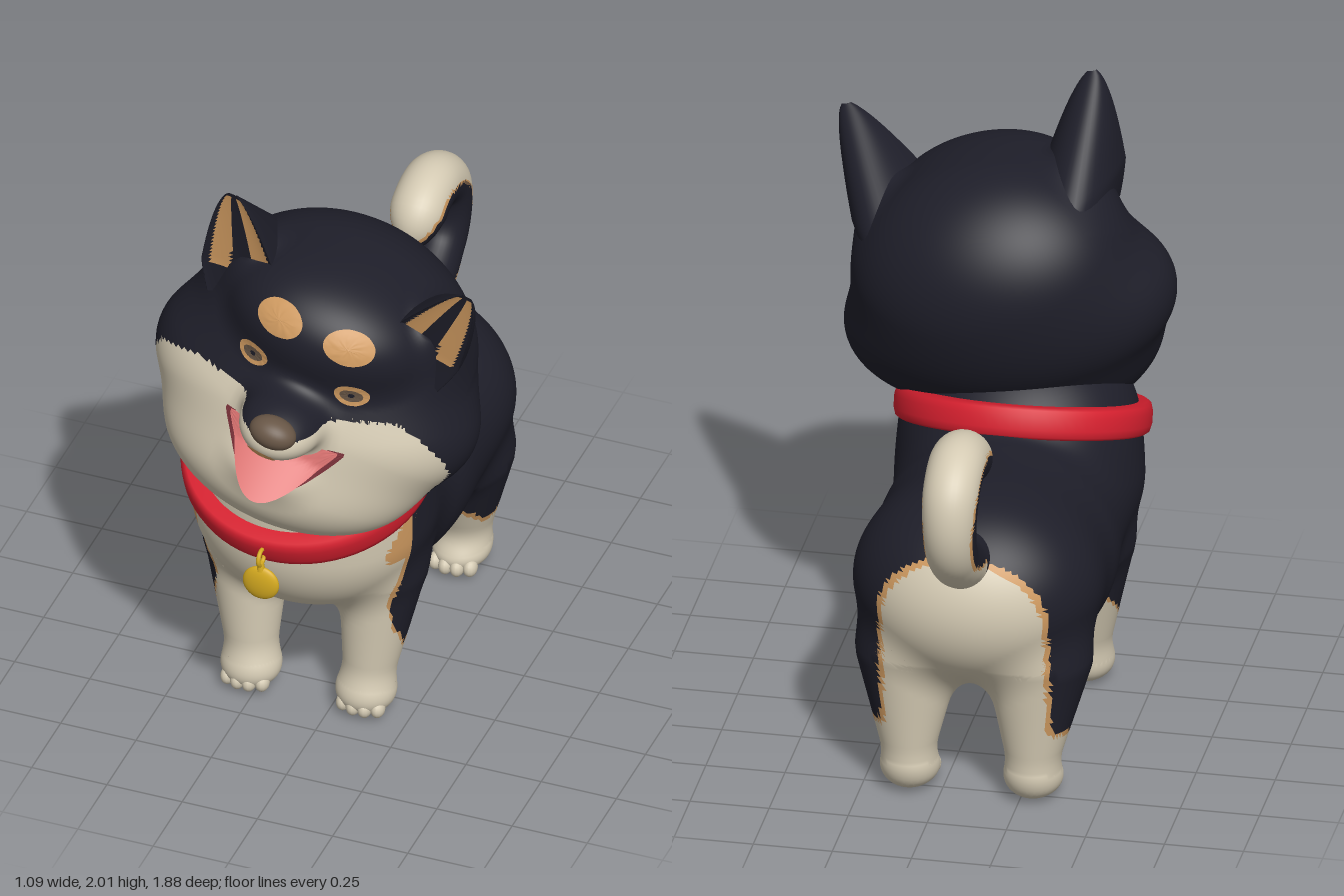
import * as THREE from 'three';

const mat = (name, color, side = THREE.FrontSide) => {
  const m = new THREE.MeshStandardMaterial({ color, side });
  m.name = name;
  return m;
};
const { lerp, clamp } = THREE.MathUtils;

// ---- soft blobs: ellipsoids and tapered limbs that melt into each other ----
const ball = (name, c, r, seg = 72) => ({
  name, seg,
  dist(x, y, z) {
    const a = (x - c[0]) / r[0], b = (y - c[1]) / r[1], d = (z - c[2]) / r[2];
    const k0 = Math.hypot(a, b, d), k1 = Math.hypot(a / r[0], b / r[1], d / r[2]);
    return k1 < 1e-6 ? -Math.min(...r) : k0 * (k0 - 1) / k1;
  },
  place: n => n.set(c[0] + n.x * r[0], c[1] + n.y * r[1], c[2] + n.z * r[2]),
});
// Limbs run from the upper end a to the lower end b
const limb = (name, a, b, ra, rb, seg = 56) => {
  const d = b.map((v, i) => v - a[i]), dd = d[0] ** 2 + d[1] ** 2 + d[2] ** 2;
  return {
    name, seg,
    dist(x, y, z) {
      const t = clamp(((x - a[0]) * d[0] + (y - a[1]) * d[1] + (z - a[2]) * d[2]) / dd, 0, 1);
      return Math.hypot(x - a[0] - d[0] * t, y - a[1] - d[1] * t, z - a[2] - d[2] * t) - lerp(ra, rb, t);
    },
    place(n) {
      const t = (1 - n.y) / 2, r = lerp(ra, rb, t);
      return n.set(a[0] + d[0] * t + n.x * r, a[1] + d[1] * t + n.y * r, a[2] + d[2] * t + n.z * r);
    },
  };
};
const blend = (blobs, k) => (x, y, z) => {
  let f = 9;
  for (const b of blobs) {
    const g = b.dist(x, y, z), h = Math.max(k - Math.abs(f - g), 0) / k;
    f = Math.min(f, g) - h * h * k / 4;
  }
  return f;
};

// Sorts faces into colour groups by a rule on the face centre
function paint(geo, pick, count) {
  const p = geo.attributes.position, ix = geo.index.array;
  const sets = Array.from({ length: count }, () => []);
  const v = new THREE.Vector3(), c = new THREE.Vector3();
  for (let i = 0; i < ix.length; i += 3) {
    c.set(0, 0, 0);
    for (let j = 0; j < 3; j++) c.add(v.fromBufferAttribute(p, ix[i + j]));
    sets[pick(c.divideScalar(3))].push(ix[i], ix[i + 1], ix[i + 2]);
  }
  geo.setIndex(sets.flat());
  geo.clearGroups();
  let start = 0;
  sets.forEach((s, m) => { if (s.length) geo.addGroup(start, s.length, m); start += s.length; });
  return geo;
}

// Moves a sphere's vertices onto the blended surface and drops faces owned by another blob
function wrap(blob, blobs, f, pick, mats) {
  const geo = new THREE.SphereGeometry(1, blob.seg, Math.round(blob.seg * 0.72));
  const p = geo.attributes.position, nor = geo.attributes.normal;
  const v = new THREE.Vector3(), g = new THREE.Vector3(), drop = [], e = 0.002;
  for (let i = 0; i < p.count; i++) {
    blob.place(v.fromBufferAttribute(p, i));
    const deep = f(v.x, v.y, v.z) < -0.12;
    for (let n = 0; n < 7; n++) {
      const d = f(v.x, v.y, v.z);
      g.set(f(v.x + e, v.y, v.z) - d, f(v.x, v.y + e, v.z) - d, f(v.x, v.y, v.z + e) - d).divideScalar(e);
      if (n < 6) v.addScaledVector(g, -clamp(d, -0.05, 0.05) / Math.max(g.lengthSq(), 0.2));
    }
    g.normalize();
    p.setXYZ(i, v.x, v.y, v.z);
    nor.setXYZ(i, g.x, g.y, g.z);
    drop.push(deep || blob.dist(v.x, v.y, v.z) > 0.045 + Math.min(...blobs.map(b => b.dist(v.x, v.y, v.z))));
  }
  const keep = [], ix = geo.index.array;
  for (let i = 0; i < ix.length; i += 3)
    if (!drop[ix[i]] && !drop[ix[i + 1]] && !drop[ix[i + 2]]) keep.push(ix[i], ix[i + 1], ix[i + 2]);
  geo.setIndex(keep);
  const mesh = new THREE.Mesh(paint(geo, pick, mats.length), mats);
  mesh.name = blob.name;
  return mesh;
}

export function createModel() {
  const dark = mat('dark fur', 0x1e1e29), cream = mat('cream fur', 0xd4cab3), tan = mat('tan fur', 0xcf9a60);
  const brown = mat('nose brown', 0x685646), red = mat('collar red', 0xd41f2e), gold = mat('tag gold', 0xd6ab20);
  const pink = mat('tongue pink', 0xdd7472, THREE.DoubleSide), maroon = mat('mouth maroon', 0x7a3038, THREE.DoubleSide);
  const fur = [dark, cream, tan];
  const root = new THREE.Group(), body = new THREE.Group(), head = new THREE.Group();
  root.name = 'dog'; body.name = 'body'; head.name = 'head';
  root.add(body, head);
  body.position.x = -0.09;
  head.position.y = 1.4;
  head.rotation.z = -0.24;
  const add = (parent, name, geo, m, pos = [0, 0, 0], scale = [1, 1, 1]) => {
    const mesh = new THREE.Mesh(geo, m);
    mesh.name = name;
    mesh.position.set(...pos);
    mesh.scale.set(...scale);
    parent.add(mesh);
    return mesh;
  };

  // Torso, legs and paws
  const bodyBlobs = [
    ball('chest', [0, 0.735, 0.26], [0.39, 0.35, 0.37], 110),
    ball('belly', [0, 0.642, -0.1], [0.38, 0.362, 0.5], 110),
    ball('rump', [0, 0.685, -0.395], [0.39, 0.318, 0.342], 110),
    ball('neck', [0.005, 0.92, 0.3], [0.365, 0.27, 0.335]),
  ];
  for (const s of [-1, 1]) {
    const side = s > 0 ? 'left' : 'right';
    bodyBlobs.push(
      limb(side + 'FrontLeg', [s * 0.222, 0.5, 0.265], [s * 0.192, 0.1, 0.315], 0.138, 0.076),
      limb(side + 'HindLeg', [s * 0.203, 0.45, -0.465], [s * 0.195, 0.1, -0.52], 0.17, 0.074),
      ball(side + 'FrontPaw', [s * 0.19, 0.06, 0.33], [0.08, 0.048, 0.075], 36),
      ball(side + 'HindPaw', [s * 0.195, 0.06, -0.475], [0.08, 0.048, 0.085], 36));
    for (const z of [0.335, -0.46]) {
      for (let i = -1.5; i < 2; i++)
        add(body, side + 'Toe', new THREE.SphereGeometry(1, 14, 10), cream,
          [s * 0.192 + i * 0.038, 0.036, z + 0.056 - 0.007 * i * i], [0.023, 0.03, 0.03]);
      add(body, side + 'PawPad', new THREE.SphereGeometry(1, 20, 8), brown, [s * 0.192, 0.008, z - 0.005], [0.045, 0.012, 0.035]);
    }
  }
  // Lower hem of the dark coat as (z, y) points
  const hem = [[-0.66, 0.36], [-0.6, 0.25], [-0.44, 0.21], [-0.31, 0.32], [-0.26, 0.41],
    [0.13, 0.41], [0.19, 0.34], [0.3, 0.24], [0.36, 0.34], [0.4, 0.5]];
  const hemAt = z => {
    const i = clamp(hem.findIndex(h => h[0] > z), 1, hem.length - 1), [a, b] = [hem[i - 1], hem[i]];
    return lerp(a[1], b[1], clamp((z - a[0]) / (b[0] - a[0]), 0, 1));
  };
  const coat = p => {
    const x = Math.abs(p.x), front = p.y > 0.84 && x > 0.22 ? 0.52 : 0.395;
    let s = Math.min(p.y - hemAt(p.z), front - p.z, p.z + 0.583 + 0.108 * p.y);
    if (p.y < 0.45) s = Math.min(s, x - 0.19);
    if (p.z < -0.56 && p.y < 0.62) s = Math.min(s, x - 0.255);
    const patch = p.z > 0.37 && p.z < 0.48 - 0.5 * Math.abs(p.y - 0.7) && p.y > 0.66 && p.y < 0.82 && x > 0.2;
    return s > 0.016 ? 0 : s > 0 || patch ? 2 : 1;
  };
  const bodyField = blend(bodyBlobs, 0.085);
  for (const b of bodyBlobs) body.add(wrap(b, bodyBlobs, bodyField, coat, fur));

  // Curled tail: tapered tube, dark on the inside of the curl
  const tailPts = [[-0.58, 0.84, 0.1], [-0.72, 0.9, 0.085], [-0.82, 0.985, 0.08], [-0.85, 1.08, 0.083],
    [-0.825, 1.18, 0.088], [-0.73, 1.235, 0.09], [-0.62, 1.205, 0.09], [-0.56, 1.1, 0.07]];
  const tailCurve = new THREE.CatmullRomCurve3(tailPts.map(([z, y]) => new THREE.Vector3(0, y, z)));
  const rows = 72, tailGeo = new THREE.TubeGeometry(tailCurve, rows, 1, 36);
  const tp = tailGeo.attributes.position, v = new THREE.Vector3();
  for (let i = 0; i < tp.count; i++) {
    const u = Math.floor(i / 37) / rows, c = tailCurve.getPointAt(u), k = Math.min(u * 7, 6.999), j = Math.floor(k);
    const r = lerp(tailPts[j][2], tailPts[j + 1][2], k - j) * Math.sqrt(1 - Math.max(0, (u - 0.86) / 0.14) ** 2);
    v.fromBufferAttribute(tp, i).sub(c).multiplyScalar(r).add(c);
    tp.setXYZ(i, v.x, v.y, v.z);
  }
  tailGeo.computeVertexNormals();
  const curl = p => {
    const d = Math.hypot(p.z + 0.7, p.y - 1.07);
    if (p.y < 1 && p.z > -0.68) return 0;
    return d > 0.186 ? 1 : d > 0.174 ? 2 : 0;
  };
  add(body, 'tail', paint(tailGeo, curl, 3), fur);

  // Collar band and hanging tag
  const band = [[0.34, -0.05], [0.385, -0.05], [0.396, -0.042], [0.402, -0.02], [0.402, 0.02], [0.396, 0.042], [0.385, 0.05], [0.34, 0.05]];
  add(body, 'collar', new THREE.LatheGeometry(band.map(b => new THREE.Vector2(...b)), 72), red, [0, 0.917, 0.315]).rotation.x = 0.355;
  add(body, 'tag', new THREE.SphereGeometry(0.06, 32, 20), gold, [-0.01, 0.68, 0.71], [1, 1, 0.32]);
  add(body, 'tagRing', new THREE.TorusGeometry(0.026, 0.007, 10, 28), gold, [-0.01, 0.775, 0.708]).rotation.y = Math.PI / 2;
  add(body, 'tagLoop', new THREE.CylinderGeometry(0.009, 0.014, 0.03, 12), gold, [-0.01, 0.742, 0.71]);

  // Head
  const face = [
    ball('skull', [0, 0, 0.31], [0.45, 0.37, 0.365], 110),
    ball('cheeks', [0, -0.155, 0.38], [0.532, 0.31, 0.365], 110),
    ball('chin', [0, -0.325, 0.465], [0.43, 0.262, 0.32], 96),
    ball('forehead', [0, 0.18, 0.485], [0.31, 0.18, 0.22]),
    ball('lowerJaw', [0, -0.26, 0.69], [0.13, 0.07, 0.12], 44),
  ];
  const headBlobs = [...face, ball('muzzle', [0, -0.045, 0.755], [0.132, 0.092, 0.163])];
  for (const s of [-1, 1])
    headBlobs.push(limb((s > 0 ? 'left' : 'right') + 'EarBase', [s * 0.335, 0.29, 0.41], [s * 0.265, 0.12, 0.355], 0.075, 0.16));
  const faceField = blend(face, 0.08), headField = blend(headBlobs, 0.07);
  const mask = p => {
    const top = -0.015 + 0.07 * p.x - 0.4 * Math.max(0, Math.abs(p.x) - 0.32);
    return p.y < top && p.z > Math.max(0.49, 0.61 + 0.6 * p.y) ? 1 : 0;
  };
  for (const b of headBlobs) head.add(wrap(b, headBlobs, headField, mask, [dark, cream]));
  const surface = (f, x, y) => { let z = 1.1; while (z > 0 && f(x, y, z) > 0) z -= 0.002; return z; };

  // Thin oval laid on the face
  const oval = (name, m, cx, cy, rx, ry, tilt, lift) => {
    const geo = new THREE.RingGeometry(0.001, 1, 36, 5), p = geo.attributes.position;
    for (let i = 0; i < p.count; i++) {
      const a = p.getX(i) * rx, b = p.getY(i) * ry;
      const x = cx + a * Math.cos(tilt) - b * Math.sin(tilt), y = cy + a * Math.sin(tilt) + b * Math.cos(tilt);
      p.setXYZ(i, x, y, surface(headField, x, y) + lift);
    }
    geo.computeVertexNormals();
    add(head, name, geo, m);
  };
  oval('lipSpot', tan, -0.01, -0.085, 0.05, 0.022, 0, 0.005);
  for (const s of [-1, 1]) {
    const side = s > 0 ? 'left' : 'right';
    oval(side + 'Brow', tan, s * 0.118, 0.252, 0.08, 0.049, -s * 0.15, 0.005);
    oval(side + 'EyeRim', tan, s * 0.168, 0.082, 0.054, 0.038, -s * 0.12, 0.004);
    oval(side + 'Eye', brown, s * 0.168, 0.082, 0.036, 0.022, -s * 0.12, 0.007);
    oval(side + 'Pupil', dark, s * 0.168, 0.084, 0.01, 0.008, 0, 0.009);

    // Ear: scooped front with tan rims, sloping back
    const ear = paint(new THREE.CylinderGeometry(1, 1, 1, 48, 28, true), c => {
      const a = Math.abs(c.x), t = c.y + 0.5;
      return c.z > 0 && a > 0.24 + 0.3 * (1 - t) ** 3 && a < 0.84 && t > 0.25 && t < 0.96 ? 1 : 0;
    }, 2);
    const p = ear.attributes.position;
    for (let i = 0; i < p.count; i++) {
      const t = p.getY(i) + 0.5, z = p.getZ(i);
      const w = 0.165 * (1 - 0.985 * t) ** 0.58 * (0.78 + 0.22 * Math.min(1, t * 3.5));
      p.setXYZ(i, s * lerp(0.265, 0.4, t) + w * p.getX(i), lerp(0.1, 0.522, t),
        0.505 + 0.025 * t + z * (z > 0 ? -0.2 * w : 0.45 * (1 - 0.985 * t)));
    }
    ear.computeVertexNormals();
    add(head, side + 'Ear', ear, [dark, tan]);
  }
  add(head, 'nose', new THREE.SphereGeometry(1, 32, 22), brown, [0.006, 0.005, 0.885], [0.076, 0.05, 0.056]);

  // Open smiling mouth with the tongue hanging forward
  const smile = (name, m, size, lift, reach) => {
    const geo = new THREE.PlaneGeometry(2, 1, 36, 14), p = geo.attributes.position;
    for (let i = 0; i < p.count; i++) {
      const u = p.getX(i), t = 0.5 - p.getY(i), bulge = 1 - Math.abs(u) ** 2;
      const x = 0.01 + 0.19 * size * u, y = -0.105 - 0.165 * size * bulge * t - 0.012 * t;
      p.setXYZ(i, x, y, Math.max(0.66 + (1 - u * u) * (0.05 + reach * t), surface(faceField, x, y) + lift));
    }
    geo.computeVertexNormals();
    add(head, name, geo, m);
  };
  smile('mouth', maroon, 1.05, 0.004, 0.08);
  smile('tongue', pink, 0.95, 0.009, 0.19);
  return root;
}
